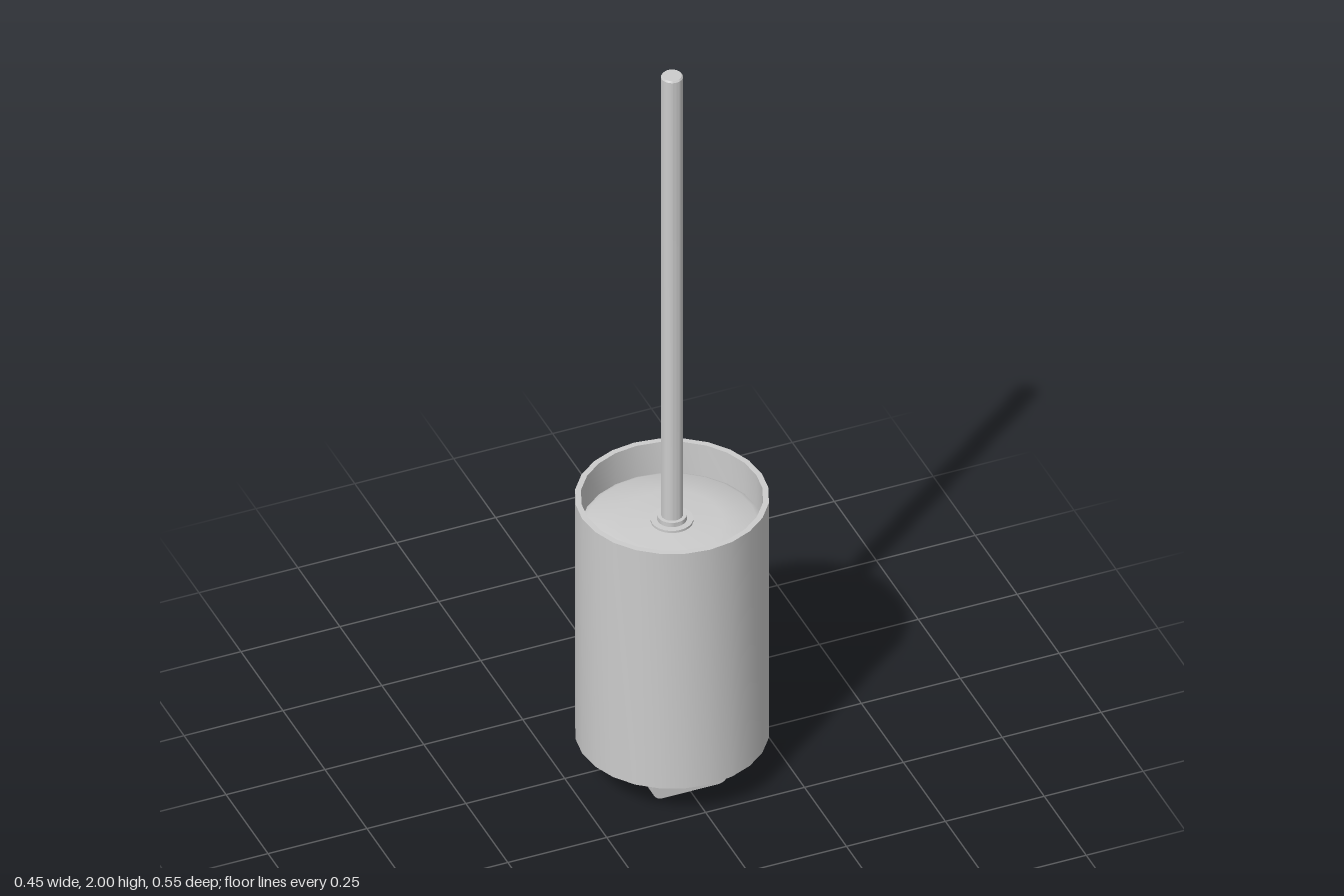
import * as THREE from 'three';
import { toCreasedNormals } from 'three/addons/utils/BufferGeometryUtils.js';

const material = new THREE.MeshStandardMaterial({ color: 0xcccccc, side: THREE.DoubleSide });
const AXIS_Z = 0.05; // the drum and rod sit forward of the centre

function add(parent, name, geometry, crease = 0.6) {
  const mesh = new THREE.Mesh(toCreasedNormals(geometry, crease), material);
  mesh.name = name;
  parent.add(mesh);
  return mesh;
}

function lathe(points, sides) {
  return new THREE.LatheGeometry(points.map(([r, y]) => new THREE.Vector2(r, y)), sides);
}

// Rounded rectangle standing on y = 0
function footShape(w, h, r) {
  const s = new THREE.Shape();
  s.moveTo(-w + r, 0);
  s.lineTo(w - r, 0);
  s.absarc(w - r, r, r, -Math.PI / 2, 0);
  s.absarc(w - r, h - r, r, 0, Math.PI / 2);
  s.absarc(-w + r, h - r, r, Math.PI / 2, Math.PI);
  s.absarc(-w + r, r, r, Math.PI, Math.PI * 1.5);
  return s;
}

export function createModel() {
  const model = new THREE.Group();

  const pump = new THREE.Group();
  pump.name = 'drumAndRod';
  pump.position.z = AXIS_Z;
  model.add(pump);

  // Drum: floor, outer wall, rim and inner wall in one profile
  add(pump, 'drum', lathe([
    [0, 0.1], [0.227, 0.1], [0.227, 0.78], [0.213, 0.78], [0.213, 0.69],
  ], 24));

  // Slightly domed piston plate inside the drum, with a collar round the rod
  add(pump, 'pistonPlate', lathe([
    [0.213, 0.69], [0.2, 0.698], [0.12, 0.706], [0.05, 0.71],
    [0.05, 0.716], [0.035, 0.716], [0.035, 0.728], [0.026, 0.728],
  ], 24));

  // Rod with a small bevel at its tip
  add(pump, 'rod', lathe([
    [0, 0.69], [0.026, 0.69], [0.026, 1.996], [0.023, 2], [0, 2],
  ], 20));

  // Foot: solid front, back part with two round ports
  const foot = new THREE.Group();
  foot.name = 'foot';
  model.add(foot);
  const portDepth = 0.15;
  const back = footShape(0.095, 0.098, 0.025);
  for (const x of [-0.043, 0.043]) {
    back.holes.push(new THREE.Path().absarc(x, 0.049, 0.036, 0, Math.PI * 2, true));
  }
  const options = { bevelEnabled: false, curveSegments: 8 };
  add(foot, 'portBlock', new THREE.ExtrudeGeometry(back, { ...options, depth: portDepth }))
    .position.z = -0.277;
  add(foot, 'footBar', new THREE.ExtrudeGeometry(footShape(0.095, 0.098, 0.025),
    { ...options, depth: 0.437 - portDepth })).position.z = -0.277 + portDepth;

  return model;
}
